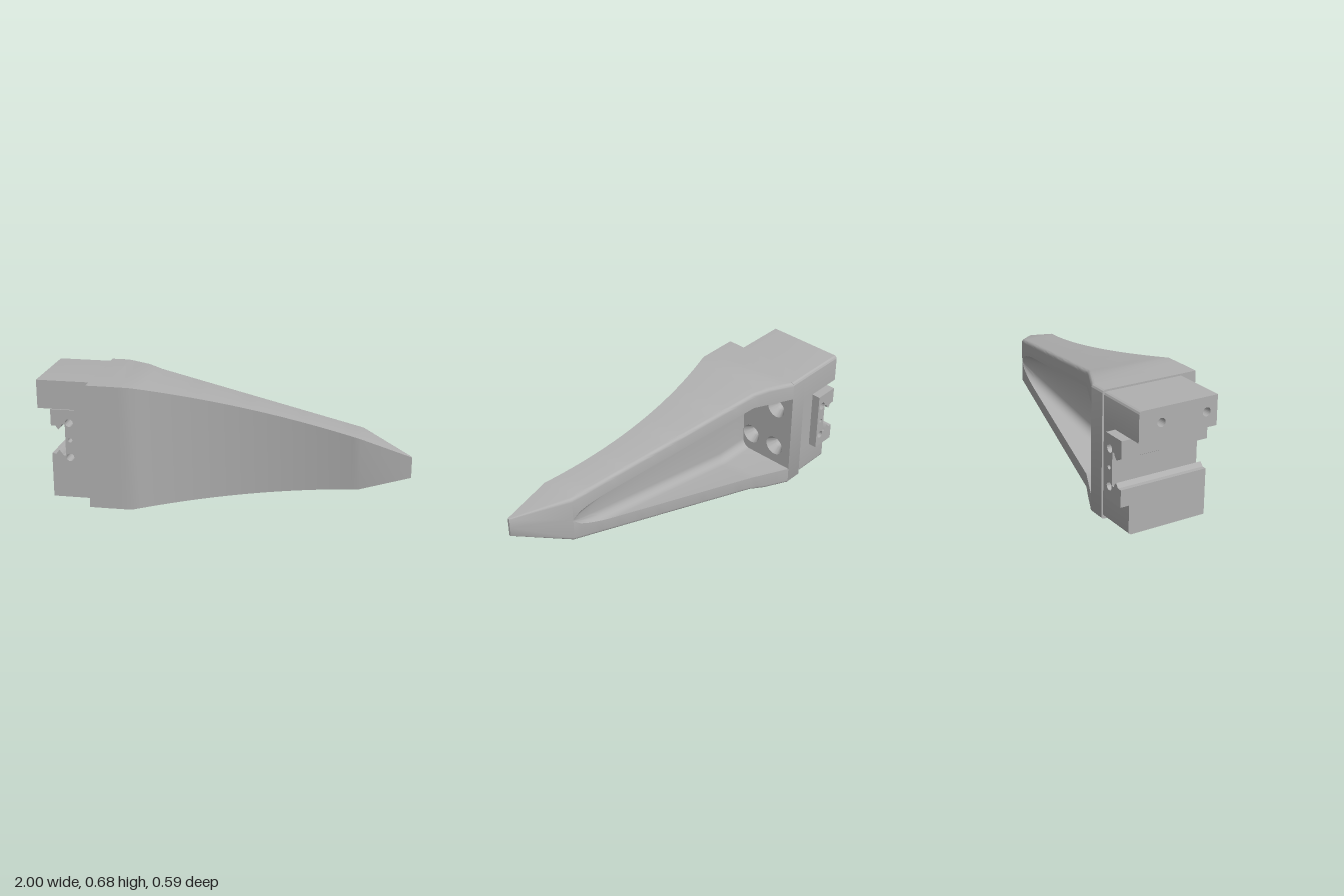
import * as THREE from 'three';
import { toCreasedNormals } from 'three/addons/utils/BufferGeometryUtils.js';

const MID = 0.343; // height of the symmetry plane
const lerp = THREE.MathUtils.lerp;

// piecewise-linear lookup through [x, value] pairs
function along(points, x) {
  for (let i = 1; i < points.length; i++) {
    const [x0, a] = points[i - 1], [x1, b] = points[i];
    if (x <= x1) return lerp(a, b, (x - x0) / (x1 - x0));
  }
  return points[points.length - 1][1];
}

const halfHeight = [[-0.6, 0.342], [-0.47, 0.341], [-0.42, 0.333], [0.74, 0.136], [1, 0.055]];
const backZ = [[-0.6, -0.255], [-0.39, -0.153], [0.74, 0.087], [1, 0.28]];
const cavityHalf = [[-0.6, 0.24], [-0.39, 0.24], [0.74, 0.055], [1, 0.02]];
const FLOOR = 0.087;

function frontZ(x) {
  if (x < -0.47 || x > 0.74) return 0.292;
  return 0.21 + 0.082 * ((x - 0.135) / 0.605) ** 2;
}

// channel-shaped cross-section at x, as a closed ring of [y, z]
function section(x) {
  const h = along(halfHeight, x), zf = frontZ(x), zb = along(backZ, x);
  const w = along(cavityHalf, x);
  const r = Math.min(0.02, (zf - zb) / 3);
  const half = [[h, zf]];
  for (let k = 0; k <= 4; k++) {
    const a = (k / 4) * Math.PI / 2;
    half.push([h - r + r * Math.cos(a), zb + r - r * Math.sin(a)]);
  }
  // cavity wall and its rounded foot
  const depth = Math.max(0, FLOOR - zb), floor = zb + depth;
  const cr = Math.min(0.05, w);
  const open = Math.acos(Math.max(0, 1 - depth / cr));
  half.push([w - cr + cr * Math.sin(open), zb]);
  for (let k = 6; k >= 0; k--) {
    const a = open * k / 6;
    half.push([w - cr + cr * Math.sin(a), floor - cr + cr * Math.cos(a)]);
  }
  return [...half, ...half.map(([y, z]) => [-y, z]).reverse()];
}

function fingerGeometry() {
  const xs = [-0.6, -0.53, -0.47, -0.42, -0.39];
  for (let i = 1; i <= 28; i++) xs.push(lerp(-0.39, 0.74, i / 28));
  xs.push(1);
  const pos = [], idx = [];
  const rings = xs.map(section), n = rings[0].length;
  rings.forEach((ring, s) => ring.forEach(([y, z]) => pos.push(xs[s], y + MID, z)));
  for (let s = 0; s < xs.length - 1; s++) {
    for (let j = 0; j < n; j++) {
      const a = s * n + j, b = s * n + (j + 1) % n;
      idx.push(a, a + n, b, b, a + n, b + n);
    }
  }
  // tip cap
  const last = (xs.length - 1) * n, c = pos.length / 3;
  pos.push(1, MID, 0.286);
  for (let j = 0; j < n; j++) idx.push(c, last + (j + 1) % n, last + j);
  const g = new THREE.BufferGeometry();
  g.setAttribute('position', new THREE.Float32BufferAttribute(pos, 3));
  g.setIndex(idx);
  return toCreasedNormals(g, 0.5);
}

// rectangle in the z-y plane with rounded corners on its back edge (r0 low, r1 high)
function sideShape(z0, z1, y0, y1, r0, r1) {
  const s = new THREE.Shape();
  s.moveTo(-z1, y0);
  s.lineTo(-z0 - r0, y0);
  if (r0) s.absarc(-z0 - r0, y0 + r0, r0, -Math.PI / 2, 0, false);
  s.lineTo(-z0, y1 - r1);
  if (r1) s.absarc(-z0 - r1, y1 - r1, r1, 0, Math.PI / 2, false);
  s.lineTo(-z1, y1);
  s.closePath();
  return s;
}

function addHole(shape, x, y, r) {
  const p = new THREE.Path();
  p.absarc(x, y, r, 0, Math.PI * 2, true);
  shape.holes.push(p);
}

function extrudeX(shape, x0, x1) {
  const g = new THREE.ExtrudeGeometry(shape, { depth: x1 - x0, bevelEnabled: false, curveSegments: 20 });
  g.rotateY(Math.PI / 2).translate(x0, 0, 0);
  return toCreasedNormals(g, 0.5);
}

export function createModel() {
  const group = new THREE.Group();
  const grey = new THREE.MeshStandardMaterial({ color: 0xb0b0b0 });
  grey.name = 'plain grey';
  const greyOpen = grey;
  greyOpen.side = THREE.DoubleSide;
  const add = (name, geometry) => {
    const m = new THREE.Mesh(geometry, grey);
    m.name = name;
    group.add(m);
    return m;
  };

  add('finger', fingerGeometry());

  // base plate with four countersunk screw holes
  const plate = sideShape(-0.255, 0.292, 0.001, 0.685, 0.018, 0.018);
  const sink = [[0.057, 0], [0.031, -0.045], [0.031, -0.075], [0, -0.095]]
    .map(([r, y]) => new THREE.Vector2(r, y));
  for (const z of [-0.143, 0.028]) {
    for (const side of [-1, 1]) {
      const y = MID + side * 0.129;
      addHole(plate, -z, y, 0.057);
      const g = new THREE.LatheGeometry(sink, 28);
      g.rotateZ(-Math.PI / 2).translate(-0.6, y, z);
      add('countersink', toCreasedNormals(g, 0.4));
    }
  }
  add('basePlate', extrudeX(plate, -0.7, -0.6));

  // mounting block: two arms and the web between them
  const upper = sideShape(-0.245, 0.202, 0.517, 0.675, 0, 0.018);
  for (const z of [-0.12, 0.14]) addHole(upper, -z, 0.597, 0.023);
  add('upperArm', extrudeX(upper, -1, -0.7));
  add('lowerArm', extrudeX(sideShape(-0.245, 0.202, 0.015, 0.174, 0.018, 0), -0.93, -0.7));
  add('mountWeb', extrudeX(sideShape(-0.245, 0.202, 0.174, 0.517, 0, 0), -0.795, -0.7));

  // C-shaped slide rail with small inward teeth, running through the block
  const lower = [[-0.795, -0.171], [-0.93, -0.171], [-0.93, -0.08], [-0.905, -0.08],
    [-0.889, -0.058], [-0.875, -0.073], [-0.868, -0.088], [-0.852, -0.088]];
  const outline = [...lower, ...lower.map(([x, y]) => [x, -y]).reverse()];
  const rail = new THREE.Shape(outline.map(([x, y]) => new THREE.Vector2(x, y + MID)).reverse());
  for (const side of [-1, 1]) addHole(rail, -0.828, MID + side * 0.098, 0.022);
  addHole(rail, -0.825, MID, 0.012);
  const railGeo = new THREE.ExtrudeGeometry(rail, { depth: 0.495, bevelEnabled: false, curveSegments: 16 });
  railGeo.translate(0, 0, -0.293);
  add('slideRail', toCreasedNormals(railGeo, 0.5));

  return group;
}
